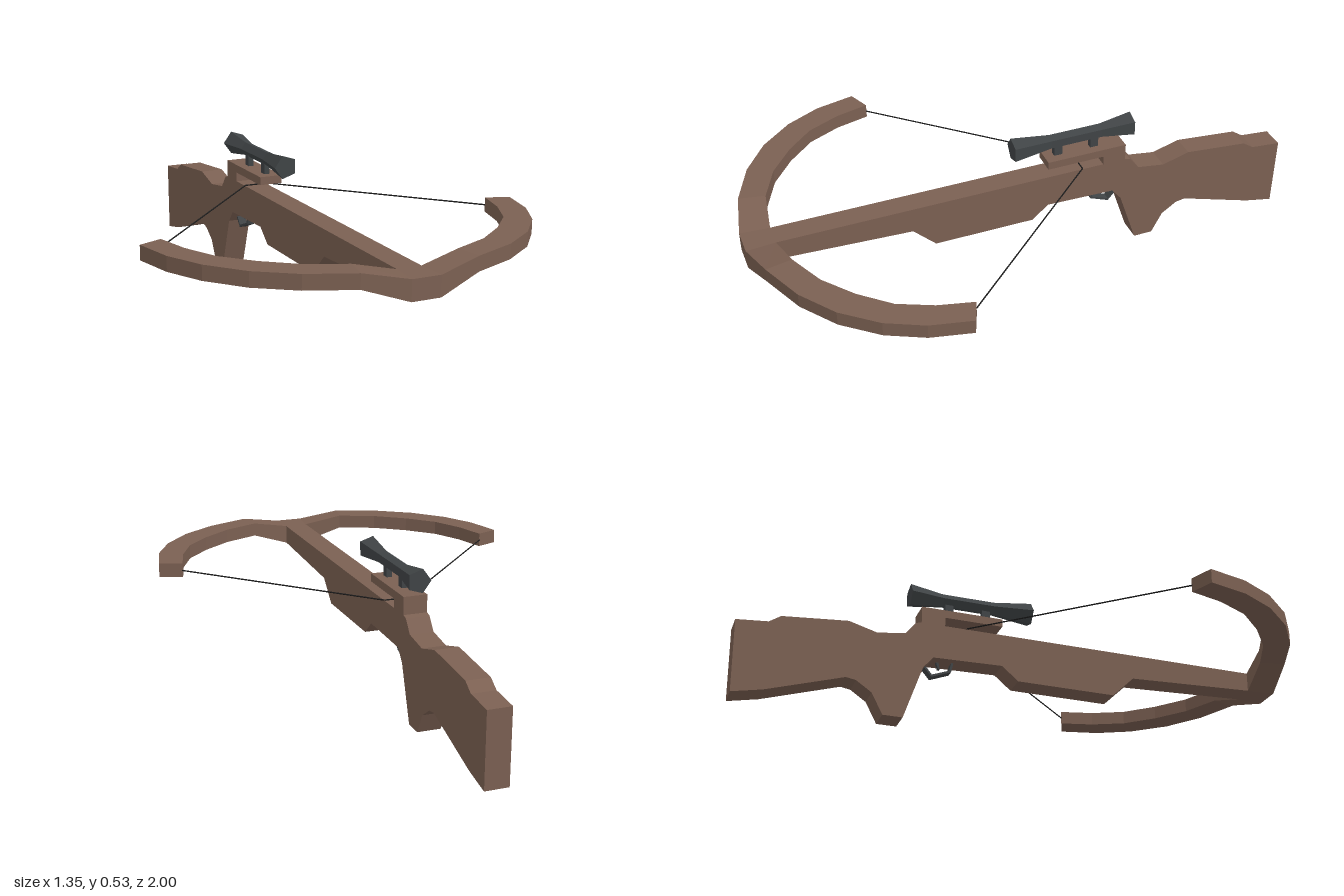
import * as THREE from 'three';

const mat = (name, color, side = THREE.FrontSide) =>
  Object.assign(new THREE.MeshStandardMaterial({ color, flatShading: true, side }), { name });

export function createModel() {
  const wood = mat('brown wood', 0x7b6052);
  const metal = mat('dark grey metal', 0x404446);
  const black = mat('black cord', 0x1c1c1c);
  const root = new THREE.Group();
  root.name = 'crossbow';

  const add = (name, geometry, material, x = 0, y = 0, z = 0) => {
    const mesh = new THREE.Mesh(geometry, material);
    mesh.name = name;
    mesh.position.set(x, y, z);
    root.add(mesh);
    return mesh;
  };

  // Side outline given as [z, y], extruded across x
  const sidePlate = (points, width) => {
    const shape = new THREE.Shape(points.map(([z, y]) => new THREE.Vector2(z, y)));
    const g = new THREE.ExtrudeGeometry(shape, { depth: width, bevelEnabled: false });
    return g.translate(0, 0, -width / 2).rotateY(-Math.PI / 2);
  };

  // Thin rod between two points
  const rod = (name, a, b, radius, material) => {
    const p = new THREE.Vector3(...a), q = new THREE.Vector3(...b);
    const g = new THREE.TubeGeometry(new THREE.LineCurve3(p, q), 1, radius, 5, false);
    return add(name, g, material);
  };

  // Stock with grip, butt, fore-end and overhanging sight rail
  add('stock', sidePlate([
    [0.9, 0.295], [0.9, 0.365], [-0.28, 0.365], [-0.28, 0.398], [-0.07, 0.398], [-0.07, 0.427],
    [-0.365, 0.427], [-0.365, 0.365], [-0.385, 0.36], [-0.42, 0.315], [-0.52, 0.3],
    [-0.62, 0.328], [-0.85, 0.307], [-0.89, 0.28], [-1, 0.27], [-0.995, 0.01], [-0.89, 0.032],
    [-0.62, 0.118], [-0.585, 0.112], [-0.53, 0.075], [-0.49, 0], [-0.42, 0],
    [-0.355, 0.195], [-0.32, 0.238], [-0.07, 0.245], [-0.01, 0.195], [0.35, 0.195], [0.43, 0.273],
  ], 0.084), wood);

  // Bow limbs: [outer x, outer z, inner x, inner z, bottom y, top y], mirrored
  const half = [
    [0.05, 1, 0.042, 0.898, 0.295, 0.365],
    [0.2, 0.967, 0.182, 0.876, 0.344, 0.394],
    [0.355, 0.902, 0.312, 0.818, 0.344, 0.394],
    [0.48, 0.813, 0.419, 0.734, 0.344, 0.394],
    [0.578, 0.698, 0.508, 0.637, 0.344, 0.394],
    [0.64, 0.574, 0.562, 0.521, 0.344, 0.394],
    [0.673, 0.432, 0.593, 0.4, 0.344, 0.394],
  ];
  const mirrored = half.map(([ox, oz, ix, ...rest]) => [-ox, oz, -ix, ...rest]).reverse();
  const sections = [...mirrored, ...half].map(([ox, oz, ix, iz, y0, y1]) =>
    [[ox, y1, oz], [ox, y0, oz], [ix, y0, iz], [ix, y1, iz]]);
  const verts = [];
  const quad = (a, b, c, d) => verts.push(...a, ...b, ...c, ...a, ...c, ...d);
  for (let k = 0; k < sections.length - 1; k++) {
    const A = sections[k], B = sections[k + 1];
    for (let i = 0; i < 4; i++) {
      const j = (i + 1) % 4;
      quad(A[i], A[j], B[j], B[i]);
    }
  }
  quad(...[...sections[0]].reverse());
  quad(...sections[sections.length - 1]);
  const bow = new THREE.BufferGeometry();
  bow.setAttribute('position', new THREE.Float32BufferAttribute(verts, 3));
  bow.computeVertexNormals();
  add('bow', bow, wood);

  // Bowstring drawn back over the stock
  for (const s of [1, -1]) {
    rod(s > 0 ? 'leftString' : 'rightString', [s * 0.595, 0.368, 0.402], [s * 0.042, 0.368, -0.2], 0.0025, black);
  }
  rod('stringCentre', [-0.042, 0.368, -0.2], [0.042, 0.368, -0.2], 0.0025, black);

  // Five-sided sight, flared at both ends
  const profile = [[0, -0.4], [0.043, -0.4], [0.025, -0.28], [0.025, -0.09], [0.043, 0.05], [0, 0.05]];
  const sight = new THREE.LatheGeometry(profile.map(([r, z]) => new THREE.Vector2(r, z)), 5);
  sight.rotateX(Math.PI / 2).rotateZ(Math.PI / 2 + Math.PI);
  sight.computeBoundingBox();
  // one corner of the pentagon points to the model's right
  if (sight.boundingBox.max.x > -sight.boundingBox.min.x) sight.rotateZ(Math.PI);
  add('sight', sight, metal, 0.002, 0.485, 0);

  // Sight mounts
  for (const z of [-0.12, -0.257]) {
    add('sightMount', new THREE.BoxGeometry(0.02, 0.05, 0.03), metal, 0, 0.448, z);
  }

  // Trigger guard loop and trigger
  add('triggerGuard', sidePlate([
    [-0.238, 0.245], [-0.247, 0.205], [-0.317, 0.177], [-0.345, 0.21], [-0.338, 0.214],
    [-0.316, 0.186], [-0.254, 0.21], [-0.246, 0.245],
  ], 0.03), metal);
  add('trigger', sidePlate([
    [-0.292, 0.245], [-0.286, 0.214], [-0.292, 0.214], [-0.302, 0.245],
  ], 0.014), metal);

  return root;
}
